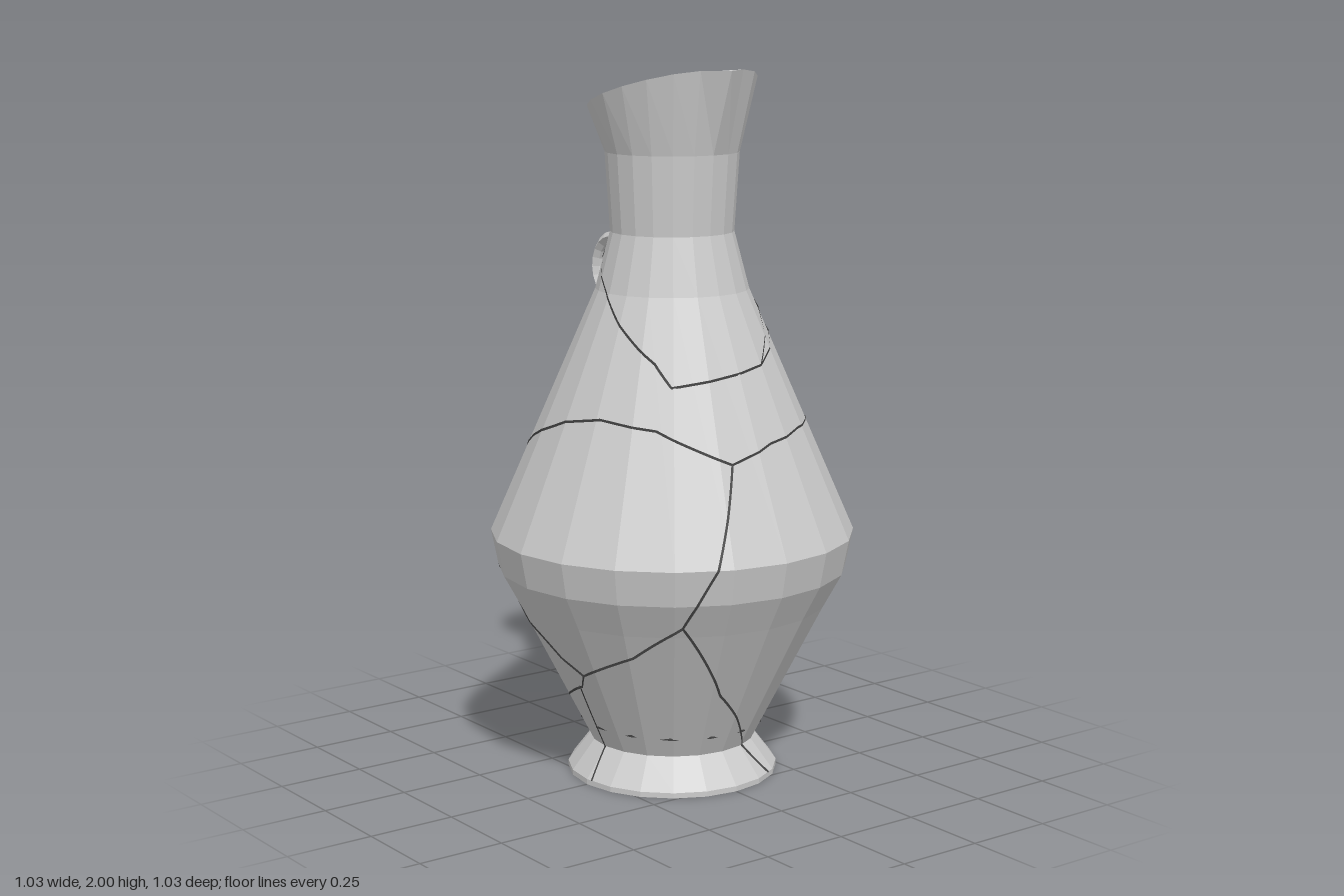
import * as THREE from 'three';

const SIDES = 20;
const STEP = (Math.PI * 2) / SIDES;
const material = new THREE.MeshStandardMaterial({ color: 0xcccccc, flatShading: true });
const crackMaterial = new THREE.MeshStandardMaterial({ color: 0x444444, side: THREE.DoubleSide });

// Outer profile [radius, height] from foot to upper neck
const OUTER = [[0.3, 0], [0.3, 0.015], [0.235, 0.1], [0.44, 0.5], [0.495, 0.6], [0.515, 0.7],
  [0.215, 1.39], [0.173, 1.55], [0.187, 1.77]];
// Inner profile from upper neck down to the floor
const INNER = [[0.15, 1.77], [0.133, 1.55], [0.175, 1.39], [0.475, 0.7], [0.455, 0.6], [0.4, 0.5], [0.1, 0.12]];

// Slanted rim ring, drawn out to a pointed spout at +x
function rimPoint(radius, i) {
  const a = i * STEP;
  const r = i === 0 ? radius + 0.031 : radius;
  const x = r * Math.cos(a);
  return [x, Math.min(2, 1.87 + 0.29 * (x + 0.23)), r * Math.sin(a)];
}

function roundRing([r, y]) {
  return Array.from({ length: SIDES }, (_, i) => [r * Math.cos(i * STEP), y, r * Math.sin(i * STEP)]);
}

function rimRing(radius) {
  return Array.from({ length: SIDES }, (_, i) => rimPoint(radius, i));
}

// Closed shell: underside, outside, lip, inside, floor
function vaseGeometry() {
  const rings = [roundRing([0, 0]), ...OUTER.map(roundRing), rimRing(0.235), rimRing(0.21),
    ...INNER.map(roundRing), roundRing([0, 0.12])];
  const index = [];
  for (let k = 0; k < rings.length - 1; k++) {
    for (let i = 0; i < SIDES; i++) {
      const j = (i + 1) % SIDES;
      const a = k * SIDES + i, b = k * SIDES + j;
      const c = a + SIDES, d = b + SIDES;
      if (k < rings.length - 2) index.push(a, c, d);
      if (k > 0) index.push(a, d, b);
    }
  }
  const g = new THREE.BufferGeometry();
  g.setAttribute('position', new THREE.Float32BufferAttribute(rings.flat(2), 3));
  g.setIndex(index);
  g.computeVertexNormals();
  return g;
}

function radiusAt(y) {
  for (let k = 1; k < OUTER.length; k++) {
    const [r0, y0] = OUTER[k - 1], [r1, y1] = OUTER[k];
    if (y <= y1) return r0 + ((r1 - r0) * (y - y0)) / (y1 - y0 || 1);
  }
  return OUTER[OUTER.length - 1][0];
}

// Point on the faceted outside for an angle and a height
function surfacePoint(a, y) {
  const within = ((a % STEP) + STEP) % STEP;
  const r = (radiusAt(y) * Math.cos(STEP / 2)) / Math.cos(within - STEP / 2) + 0.002;
  return new THREE.Vector3(r * Math.cos(a), y, r * Math.sin(a));
}

// Crack points given by x on the front, z on the +x side, or degrees around
const clamp = (v) => Math.max(-1, Math.min(1, v));
const front = (x, y) => [Math.acos(clamp(x / radiusAt(y))), y];
const side = (z, y) => [Math.asin(clamp(z / radiusAt(y))), y];
const around = (deg, y) => [THREE.MathUtils.degToRad(deg), y];

const CRACKS = [
  // shoulder crack
  [around(160, 1.63), front(-0.14, 1.52), front(0, 1.38), front(0.2, 1.22), side(0.19, 1.16),
    side(-0.09, 1.2), side(-0.2, 1.39)],
  [side(-0.09, 1.2), around(-60, 1.28), around(-90, 1.35), around(-137, 1.54), around(-200, 1.6)],
  [around(-90, 1.35), around(-108, 1.2), around(-135, 1.13), around(-161, 1.25), around(-180, 1.36)],
  // belly crack, all the way round
  [around(172, 0.83), front(-0.35, 0.87), front(-0.2, 0.98), front(0, 1.05), front(0.12, 1.07),
    side(0.25, 1.05), side(0.09, 0.96), side(-0.05, 1), side(-0.2, 1.02), around(-73, 1.02),
    around(-110, 0.87), around(-147, 0.68), around(-188, 0.83)],
  // cracks down to the foot
  [front(-0.35, 0.87), front(-0.34, 0.7), front(-0.32, 0.63), front(-0.2, 0.5), front(0.06, 0.34),
    front(0.25, 0.43), side(0.25, 0.53)],
  [side(0.09, 0.96), side(0.2, 0.7), side(0.25, 0.53), side(0.08, 0.3), side(-0.08, 0.1), side(-0.15, 0.015)],
  [front(-0.26, 0.17), front(-0.1, 0.24), front(0.03, 0.3), front(0.06, 0.34)],
  [front(0.02, 0.3), front(0, 0.1), front(0.02, 0.015)],
  [around(-147, 0.68), around(-152, 0.4), around(-159, 0.1), around(-145, 0.015)],
  [around(-159, 0.1), around(-190, 0.14), front(-0.26, 0.17)],
];

// Thin ribbon lying on the outside
function crackGeometry(path) {
  const points = [];
  const N = 14;
  path.forEach(([a, y], k) => {
    if (k === 0) { points.push(surfacePoint(a, y)); return; }
    const [a0, y0] = path[k - 1];
    for (let s = 1; s <= N; s++) points.push(surfacePoint(a0 + ((a - a0) * s) / N, y0 + ((y - y0) * s) / N));
  });
  const position = [], index = [];
  points.forEach((p, i) => {
    const along = points[Math.min(i + 1, points.length - 1)].clone().sub(points[Math.max(i - 1, 0)]);
    const across = new THREE.Vector3(p.x, 0, p.z).cross(along).normalize().multiplyScalar(0.0035);
    position.push(...p.clone().add(across).toArray(), ...p.clone().sub(across).toArray());
    if (i > 0) {
      const q = i * 2;
      index.push(q - 2, q - 1, q, q - 1, q + 1, q);
    }
  });
  const g = new THREE.BufferGeometry();
  g.setAttribute('position', new THREE.Float32BufferAttribute(position, 3));
  g.setIndex(index);
  g.computeVertexNormals();
  return g;
}

// Curled strap: part of a ring, stretched in depth
function handleLoop(name, x, y, startDeg, endDeg) {
  const start = THREE.MathUtils.degToRad(startDeg);
  const g = new THREE.TorusGeometry(0.09, 0.021, 8, 14, THREE.MathUtils.degToRad(endDeg) - start);
  g.rotateZ(start).scale(1, 1, 2.15).translate(x, y, 0);
  const mesh = new THREE.Mesh(g, material);
  mesh.name = name;
  return mesh;
}

export function createModel() {
  const model = new THREE.Group();
  model.name = 'crackedVase';

  const body = new THREE.Mesh(vaseGeometry(), material);
  body.name = 'vaseBody';
  model.add(body);

  const handle = new THREE.Group();
  handle.name = 'handle';
  handle.add(handleLoop('upperHandleLoop', -0.235, 1.425, 45, 285));
  handle.add(handleLoop('lowerHandleLoop', -0.305, 1.21, 45, 262));
  model.add(handle);

  const cracks = new THREE.Group();
  cracks.name = 'cracks';
  CRACKS.forEach((path) => {
    const crack = new THREE.Mesh(crackGeometry(path), crackMaterial);
    crack.name = 'crack';
    cracks.add(crack);
  });
  model.add(cracks);
  return model;
}
